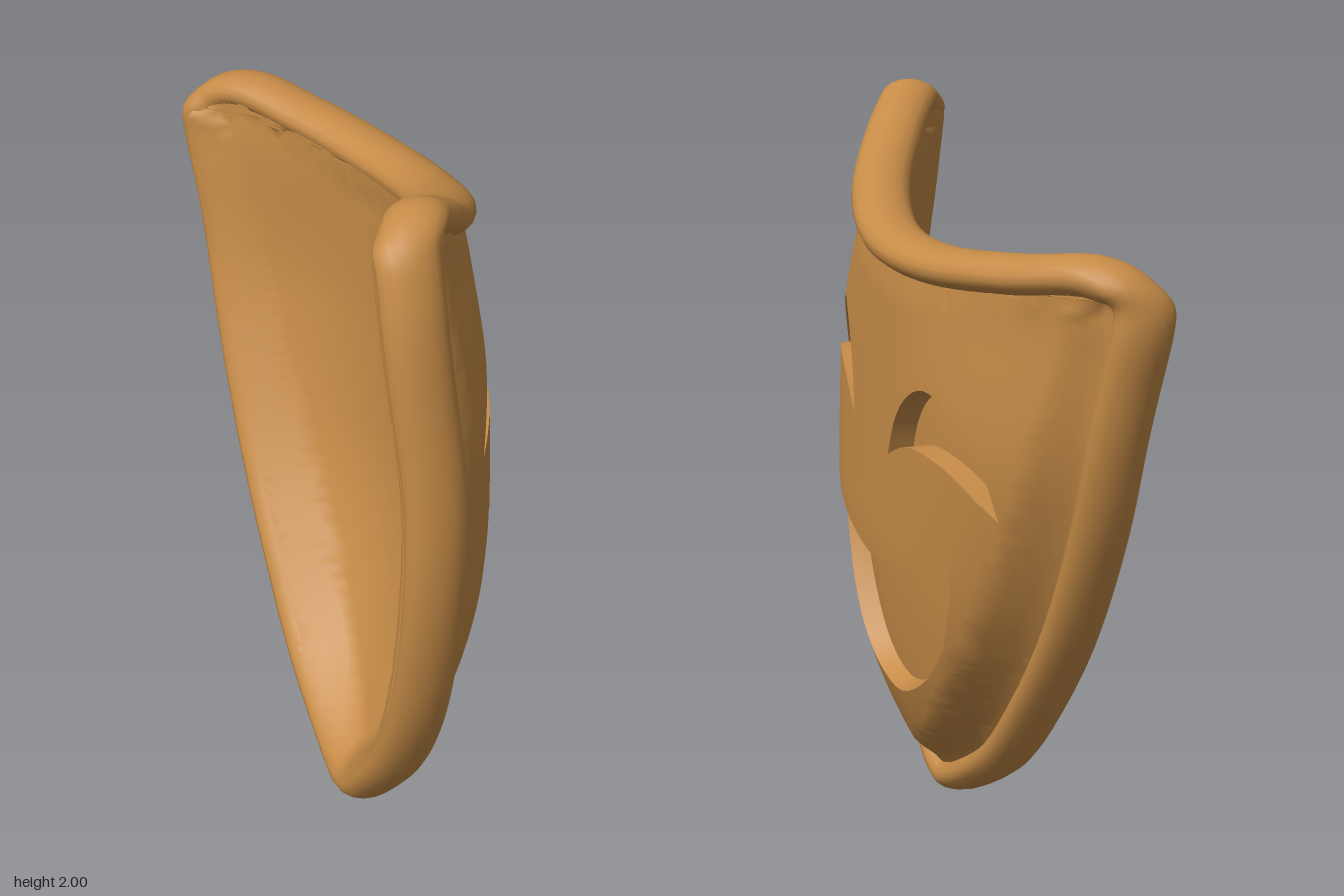
import * as THREE from 'three';
import { toCreasedNormals } from 'three/addons/utils/BufferGeometryUtils.js';

// The mask faces +x; outlines are drawn as (z, y) and pushed along x by a height rule.
const { clamp, lerp, smoothstep } = THREE.MathUtils;
const V2 = (a) => a.map(([z, y]) => new THREE.Vector2(z, y));
const ccw = (pts) => (THREE.ShapeUtils.isClockWise(pts) ? pts.reverse() : pts);
const TILT = 0.19;

// Smooth dome: arch across the tilted axis, tapering to the chin
function dome(z, y) {
  const dz = z - 0.27, c = Math.cos(TILT), s = Math.sin(TILT);
  const v = Math.max(0.03, -dz * s + y * c);
  const u = dz * c + y * s;
  const w = 0.77 * Math.pow(1 - (1 - Math.min(v / 1.6, 1)) ** 2, 0.7);
  const base = -0.08 - 0.04 * smoothstep(v, 1.2, 1.8);
  const peak = -0.08 + 0.305 * (1 - (1 - Math.min(v / 0.95, 1)) ** 2);
  const power = 2.7 - 0.8 * smoothstep(v, 1.25, 1.75);
  return peak - (peak - base) * Math.pow(clamp(Math.abs(u) / w, 0, 1.05), power);
}

// Outer outline with outward directions
const outline = ccw(new THREE.CatmullRomCurve3([
  [0.27, 0], [0.2, 0.02], [0.1, 0.07], [-0.1, 0.2], [-0.3, 0.41], [-0.5, 0.68], [-0.68, 1.04], [-0.79, 1.4],
  [-0.83, 1.6], [-0.8, 1.69], [-0.71, 1.735], [-0.5, 1.715], [-0.25, 1.7], [0, 1.725], [0.2, 1.79], [0.4, 1.88],
  [0.5, 1.95], [0.6, 2], [0.7, 1.955], [0.76, 1.82], [0.81, 1.5], [0.83, 1.15], [0.8, 0.85], [0.72, 0.55],
  [0.6, 0.31], [0.45, 0.12], [0.36, 0.03],
].map(([z, y]) => new THREE.Vector3(z, y, 0)), true).getSpacedPoints(240).slice(0, -1)
  .map((p) => new THREE.Vector2(p.x, p.y)));
const count = outline.length;
const outward = outline.map((p, i) => {
  const t = outline[(i + 1) % count].clone().sub(outline[(i + count - 1) % count]).normalize();
  return new THREE.Vector2(t.y, -t.x);
});
const inset = (d) => outline.map((p, i) => p.clone().addScaledVector(outward[i], -d));

// Rim depth: the top edge follows the dome, the sides lie almost in one plane
const centre = inset(0.05);
const topness = outward.map((n) => smoothstep(n.y * Math.cos(TILT) - n.x * Math.sin(TILT), 0.2, 0.85));
const rimX = centre.map((p, i) => lerp(-0.12 - 0.04 * smoothstep(p.y, 1.2, 1.8), dome(p.x, p.y) - 0.05, topness[i]));

// Face height: the dome sinking into a soft groove beside the rim
function height(z, y) {
  let best = Infinity, k = 0;
  for (let i = 0; i < count; i++) {
    const d = (outline[i].x - z) ** 2 + (outline[i].y - y) ** 2;
    if (d < best) { best = d; k = i; }
  }
  const depth = (outline[k].x - z) * outward[k].x + (outline[k].y - y) * outward[k].y;
  return lerp(rimX[k] + 0.04, dome(z, y), smoothstep(depth, 0.05, 0.17));
}

function normalOf(fn, z, y) {
  const e = 0.012;
  return new THREE.Vector3(1, -(fn(z, y + e) - fn(z, y - e)) / (2 * e), -(fn(z + e, y) - fn(z - e, y)) / (2 * e)).normalize();
}

// Fill a flat outline, halve edges until short, then raise it to the height rule
function sheet(edge, holes, fn, front) {
  const shape = new THREE.Shape(edge);
  shape.holes = holes.map((h) => new THREE.Path(h));
  const flat = new THREE.ShapeGeometry(shape).toNonIndexed().getAttribute('position');
  const stack = [], pos = [], nor = [];
  for (let i = 0; i < flat.count; i += 3) {
    stack.push([0, 1, 2].map((k) => new THREE.Vector2(flat.getX(i + k), flat.getY(i + k))));
  }
  while (stack.length) {
    const t = stack.pop();
    const len = t.map((p, k) => p.distanceTo(t[(k + 1) % 3]));
    const k = len.indexOf(Math.max(...len));
    if (len[k] > 0.045) {
      const a = t[k], b = t[(k + 1) % 3], c = t[(k + 2) % 3];
      const m = a.clone().add(b).multiplyScalar(0.5);
      stack.push([a, m, c], [m, b, c]);
      continue;
    }
    for (const p of front ? [t[0], t[2], t[1]] : t) {
      const n = normalOf(fn, p.x, p.y).multiplyScalar(front ? 1 : -1);
      pos.push(fn(p.x, p.y), p.y, p.x);
      nor.push(n.x, n.y, n.z);
    }
  }
  const g = new THREE.BufferGeometry();
  g.setAttribute('position', new THREE.Float32BufferAttribute(pos, 3));
  g.setAttribute('normal', new THREE.Float32BufferAttribute(nor, 3));
  return g;
}

// Skin a series of closed loops of Vector3
function loft(loops, wrap) {
  const n = loops[0].length, m = loops.length, idx = [];
  for (let k = 0; k < (wrap ? m : m - 1); k++) {
    for (let i = 0; i < n; i++) {
      const j = (i + 1) % n, q = (k + 1) % m;
      const a = k * n + i, b = q * n + i, c = k * n + j, d = q * n + j;
      idx.push(a, b, c, b, d, c);
    }
  }
  const g = new THREE.BufferGeometry().setFromPoints(loops.flat());
  g.setIndex(idx);
  g.computeVertexNormals();
  return g;
}

// Closed opening made of two smooth curves meeting at sharp corners
function opening(cornerA, upper, cornerB, lower) {
  const top = new THREE.SplineCurve(V2([cornerA, ...upper, cornerB])).getSpacedPoints(28);
  const low = new THREE.SplineCurve(V2([cornerB, ...lower, cornerA])).getSpacedPoints(28);
  return ccw([...top.slice(0, -1), ...low.slice(0, -1)]);
}

export function createModel() {
  const group = new THREE.Group();
  const wood = new THREE.MeshStandardMaterial({ color: 0xc58b47 });
  wood.name = 'warm tan';
  const add = (name, geometry) => {
    const mesh = new THREE.Mesh(geometry, wood);
    mesh.name = name;
    group.add(mesh);
  };

  // Rounded rim: oval section, leaning with the dome along the top
  const loops = [], sides = 18;
  for (let k = 0; k < sides; k++) {
    const a = (k / sides) * Math.PI * 2;
    loops.push(centre.map((p, i) => {
      const lean = normalOf(dome, p.x, p.y).multiplyScalar(0.5 * topness[i]).add(new THREE.Vector3(1, 0, 0)).normalize();
      return new THREE.Vector3(rimX[i], p.y, p.x)
        .add(new THREE.Vector3(0, outward[i].y, outward[i].x).multiplyScalar(0.05 * Math.cos(a)))
        .addScaledVector(lean, 0.08 * Math.sin(a));
    }));
  }
  add('rim', loft(loops, true));

  // Smiling eyes and mouth
  const leftEye = opening([0.59, 1.25], [[0.54, 1.35], [0.45, 1.43], [0.35, 1.455], [0.25, 1.4], [0.195, 1.29]],
    [0.18, 1.175], [[0.27, 1.26], [0.38, 1.305], [0.49, 1.295]]);
  const rightEye = opening([-0.07, 1.125], [[-0.11, 1.22], [-0.18, 1.3], [-0.27, 1.335], [-0.38, 1.285], [-0.455, 1.18]],
    [-0.48, 1.04], [[-0.36, 1.135], [-0.25, 1.17], [-0.16, 1.165]]);
  const mouth = opening([0.5, 1.04], [[0.4, 0.95], [0.25, 0.87], [0.08, 0.815], [-0.08, 0.82], [-0.2, 0.85]],
    [-0.31, 0.885], [[-0.29, 0.78], [-0.2, 0.6], [-0.05, 0.46], [0.13, 0.395], [0.3, 0.45], [0.44, 0.63], [0.52, 0.85]]);

  // Front and hollow back of the face
  const inner = inset(0.06);
  add('faceFront', sheet(inner, [leftEye, rightEye, mouth], height, true));
  add('faceBack', sheet(inner, [], (z, y) => height(z, y) - 0.12, false));

  // Recessed floors and sloping walls of each opening
  const eyeFloor = (z, y) => height(z, y) - 0.065;
  const mouthFloor = (z, y) => 0.38 * height(z, y) + 0.027;
  for (const [name, edge, fn, scale] of [
    ['leftEye', leftEye, eyeFloor, 0.96], ['rightEye', rightEye, eyeFloor, 0.96], ['mouth', mouth, mouthFloor, 0.93],
  ]) {
    const mid = edge.reduce((s, p) => s.add(p), new THREE.Vector2()).divideScalar(edge.length);
    const floor = edge.map((p) => p.clone().sub(mid).multiplyScalar(scale).add(mid));
    add(name + 'Floor', sheet(floor, [], fn, true));
    const wall = loft([
      edge.map((p) => new THREE.Vector3(height(p.x, p.y), p.y, p.x)),
      floor.map((p) => new THREE.Vector3(fn(p.x, p.y), p.y, p.x)),
    ], false);
    add(name + 'Wall', toCreasedNormals(wall, 0.8));
  }
  return group;
}
